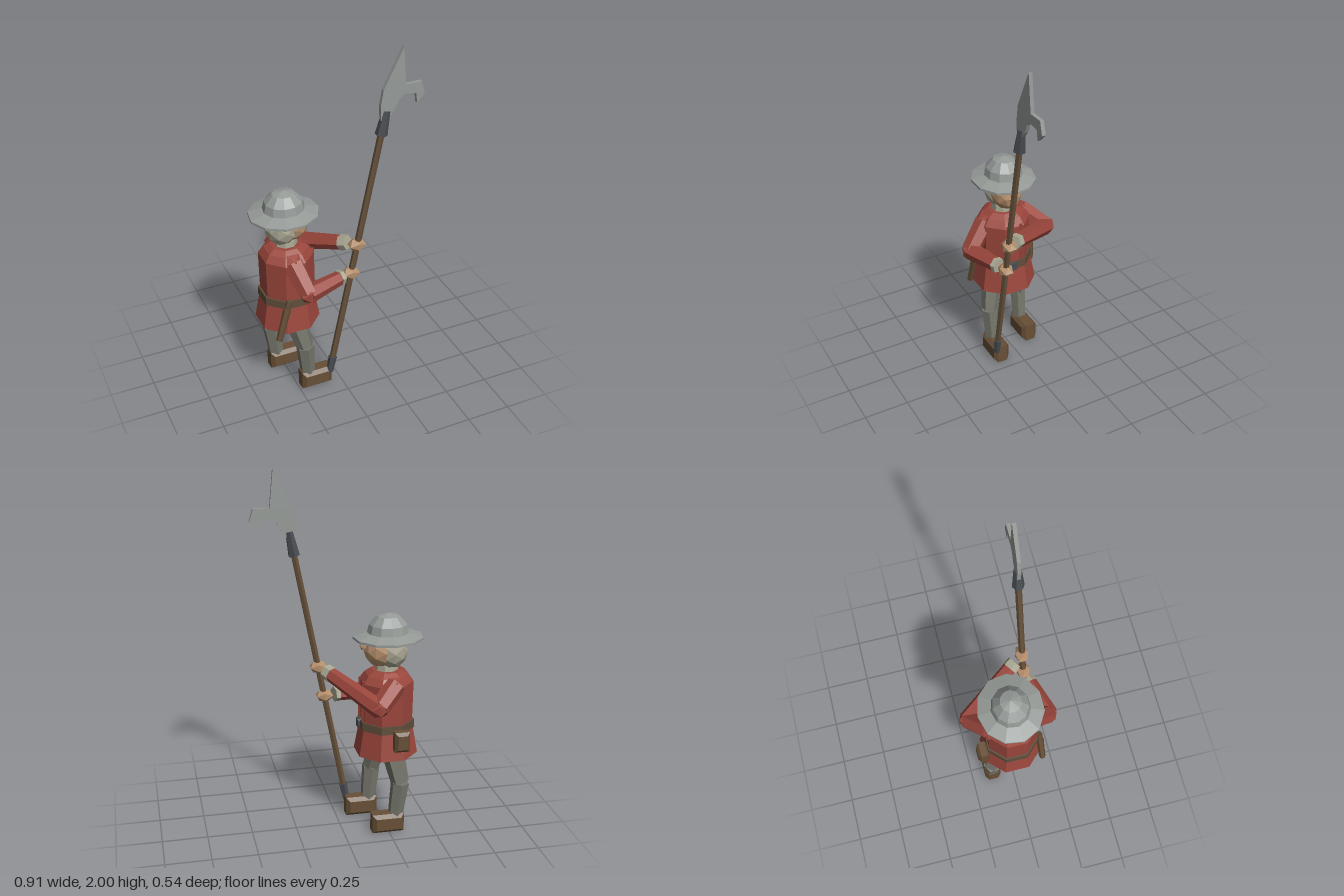
import * as THREE from 'three';

const V = (x, y, z) => new THREE.Vector3(x, y, z);
const paint = (color) => new THREE.MeshStandardMaterial({ color, flatShading: true });

export function createModel() {
  const red = paint(0x9a463c), steel = paint(0x959a97), iron = paint(0x484d52);
  const wood = paint(0x65503a), leather = paint(0x674f36), belt = paint(0x5d4c39);
  const skin = paint(0xb48e6b), linen = paint(0xa9a692), hose = paint(0x74756a);
  const CX = -0.26, CZ = -0.005; // body axis; the figure looks along +x

  const model = new THREE.Group();
  const add = (name, geo, mat, pos = V(0, 0, 0), parent = model) => {
    const m = new THREE.Mesh(geo, mat);
    m.name = name;
    m.position.copy(pos);
    parent.add(m);
    return m;
  };
  // Tapered prism running from a to b
  const limb = (name, a, b, ra, rb, mat, parent = model, sides = 6) => {
    const d = b.clone().sub(a);
    const m = add(name, new THREE.CylinderGeometry(rb, ra, d.length(), sides), mat, a.clone().lerp(b, 0.5), parent);
    m.quaternion.setFromUnitVectors(V(0, 1, 0), d.normalize());
    return m;
  };
  // Faceted ball squashed to given radii
  const ball = (name, pos, rx, ry, rz, mat, parent = model, detail = 0) => {
    const m = add(name, new THREE.IcosahedronGeometry(1, detail), mat, pos, parent);
    m.scale.set(rx, ry, rz);
    return m;
  };
  // Block with cut edges
  const block = (name, pos, w, h, d, c, mat, parent = model) => {
    const x = w / 2 - c, y = h / 2 - c;
    const shape = new THREE.Shape([[-x, -y], [x, -y], [x, y], [-x, y]].map(p => new THREE.Vector2(...p)));
    const geo = new THREE.ExtrudeGeometry(shape, {
      depth: d - 2 * c, bevelEnabled: true, bevelSize: c, bevelThickness: c, bevelSegments: 1,
    });
    return add(name, geo.center(), mat, pos, parent);
  };
  // Turned profile of [radius, height] pairs
  const turned = (name, pts, sides, mat, rz = 1) => {
    const geo = new THREE.LatheGeometry(pts.map(p => new THREE.Vector2(...p)), sides, Math.PI / sides);
    const m = add(name, geo, mat, V(CX, 0, CZ));
    m.scale.z = rz;
    return m;
  };

  // Tunic, belt and collar
  turned('tunic', [[0, 0.44], [0.178, 0.44], [0.146, 0.62], [0.15, 0.86], [0.122, 0.9], [0.085, 0.922], [0, 0.922]], 8, red, 1.02);
  turned('belt', [[0.14, 0.59], [0.16, 0.59], [0.157, 0.635], [0.14, 0.635]], 8, belt, 1.0);
  turned('collar', [[0.066, 0.9], [0.06, 0.955], [0, 0.955]], 8, linen);
  block('buckle', V(-0.108, 0.612, 0.012), 0.02, 0.045, 0.045, 0.005, iron);
  for (const z of [-0.045, 0.035]) limb('tunicFold', V(-0.122, 0.64, z), V(-0.125, 0.87, z), 0.012, 0.012, red, model, 4);

  // Head with coif and nose
  ball('coif', V(-0.283, 1.03, CZ - 0.003), 0.093, 0.105, 0.1, linen, model, 1);
  ball('face', V(-0.232, 1.035, CZ - 0.003), 0.102, 0.098, 0.088, skin, model, 1);
  ball('nose', V(-0.128, 1.06, CZ - 0.003), 0.022, 0.022, 0.022, skin);

  // Wide-brimmed helmet
  const hat = turned('helmet', [[0, 1.11], [0.1, 1.115], [0.193, 1.1], [0.193, 1.113], [0.115, 1.135],
    [0.105, 1.18], [0.062, 1.226], [0, 1.242]], 11, steel, 0.92);
  hat.position.set(-0.264, 0, -0.012);

  // Legs and boots, right one (+z) stepping ahead
  for (const [name, s, hipX, kneeX, ankleX, bootX] of [
    ['rightLeg', 1, -0.255, -0.208, -0.19, -0.147], ['leftLeg', -1, -0.275, -0.315, -0.292, -0.245],
  ]) {
    const leg = new THREE.Group();
    leg.name = name;
    model.add(leg);
    const z = (v) => CZ + s * v;
    const knee = V(kneeX, 0.29, z(0.122));
    limb('thigh', V(hipX, 0.49, z(0.075)), knee, 0.066, 0.05, hose, leg);
    limb('shin', V(ankleX, 0.09, z(0.118)), knee, 0.042, 0.052, hose, leg);
    block('boot', V(bootX, 0.055, z(0.12)), 0.18, 0.11, 0.096, 0.02, leather, leg);
  }

  // Arms reaching for the shaft
  for (const [name, shoulder, elbow, wrist, hand] of [
    ['rightArm', V(-0.265, 0.855, 0.105), V(-0.225, 0.72, 0.222), V(-0.005, 0.73, 0.162), V(0.055, 0.732, 0.148)],
    ['leftArm', V(-0.275, 0.86, -0.125), V(-0.165, 0.78, -0.228), V(0.053, 0.893, 0.09), V(0.09, 0.905, 0.145)],
  ]) {
    const arm = new THREE.Group();
    arm.name = name;
    model.add(arm);
    const at = (t) => elbow.clone().lerp(wrist, t);
    ball('shoulder', shoulder, 0.062, 0.06, 0.055, red, arm);
    limb('upperArm', shoulder, elbow, 0.06, 0.052, red, arm);
    ball('elbow', elbow, 0.053, 0.053, 0.053, red, arm);
    limb('forearm', elbow, at(0.93), 0.052, 0.04, red, arm);
    limb('cuff', at(0.91), at(1.02), 0.045, 0.042, linen, arm);
    ball('hand', hand, 0.054, 0.037, 0.043, skin, arm);
  }

  // Pouch and sheathed dagger on the belt
  block('pouch', V(-0.305, 0.56, -0.178), 0.085, 0.115, 0.07, 0.017, leather);
  limb('sheath', V(-0.375, 0.41, 0.158), V(-0.32, 0.6, 0.15), 0.018, 0.022, leather);
  limb('daggerGrip', V(-0.32, 0.6, 0.15), V(-0.305, 0.65, 0.148), 0.016, 0.018, wood);

  // Polearm: shaft, ferrule, socket and blade
  const Z = 0.148;
  const along = (y) => V(-0.07 + (y - 0.08) * 0.195, y, Z);
  limb('shaft', along(0.085), along(1.6), 0.018, 0.018, wood);
  limb('ferrule', along(0.08), along(0.18), 0.02, 0.024, iron);
  limb('socket', along(1.54), along(1.67), 0.033, 0.021, iron);
  const outline = [[0.322, 2], [0.217, 1.79], [0.203, 1.7], [0.208, 1.62], [0.25, 1.63], [0.283, 1.67], [0.308, 1.725],
    [0.335, 1.748], [0.4, 1.74], [0.408, 1.686], [0.45, 1.73], [0.43, 1.8], [0.342, 1.798]];
  const blade = new THREE.Shape(outline.map(p => new THREE.Vector2(...p)));
  add('blade', new THREE.ExtrudeGeometry(blade, { depth: 0.02, bevelEnabled: false }), steel, V(0, 0, Z - 0.01));

  return model;
}
